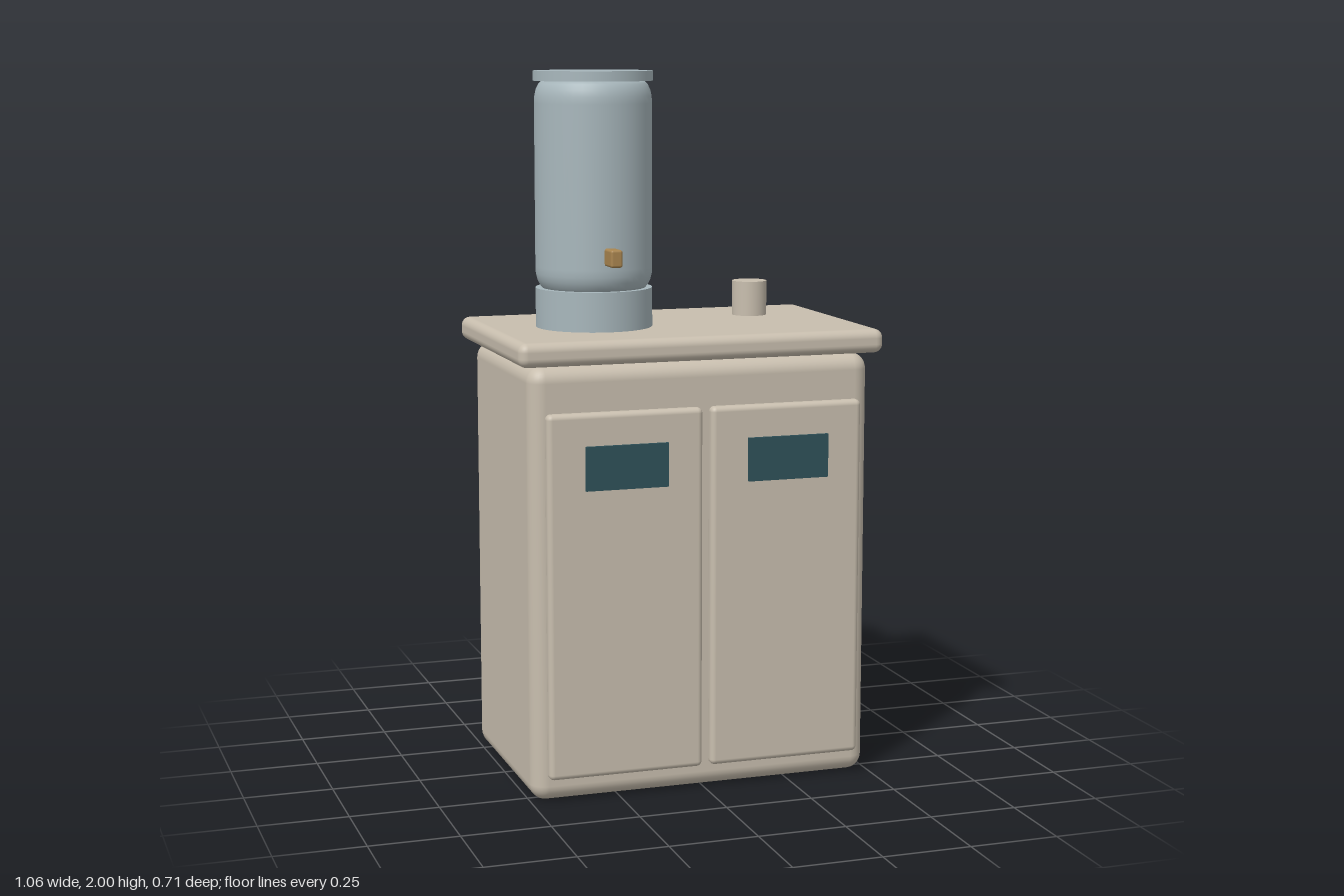
import * as THREE from 'three';
import { RoundedBoxGeometry } from 'three/addons/geometries/RoundedBoxGeometry.js';

const material = (name, color) => {
  const m = new THREE.MeshStandardMaterial({ color });
  m.name = name;
  return m;
};

export function createModel() {
  const group = new THREE.Group();
  group.name = 'cabinetWithTank';
  const beige = material('warm beige', 0xc8beae);
  const steel = material('blue grey steel', 0xa8b7bc);
  const teal = material('dark teal', 0x2f5159);
  const brass = material('brass', 0xa9854f);

  const add = (name, geometry, mat, x, y, z) => {
    const mesh = new THREE.Mesh(geometry, mat);
    mesh.name = name;
    mesh.position.set(x, y, z);
    group.add(mesh);
    return mesh;
  };
  // Rounded box given by its lower and upper limits
  const box = (name, mat, [x0, x1], [y0, y1], [z0, z1], r) =>
    add(name, new RoundedBoxGeometry(x1 - x0, y1 - y0, z1 - z0, 4, r), mat,
      (x0 + x1) / 2, (y0 + y1) / 2, (z0 + z1) / 2);
  const cylinder = (name, mat, r, [y0, y1], x, z) =>
    add(name, new THREE.CylinderGeometry(r, r, y1 - y0, 40), mat, x, (y0 + y1) / 2, z);

  // Cabinet and worktop
  box('cabinetBody', beige, [-0.497, 0.492], [0, 1.215], [-0.322, 0.308], 0.045);
  box('worktop', beige, [-0.53, 0.526], [1.217, 1.284], [-0.354, 0.332], 0.025);

  // Pair of doors, each with a dark window
  for (const [side, x] of [['right', -0.236], ['left', 0.232]]) {
    box(side + 'Door', beige, [x - 0.222, x + 0.222], [0.07, 1.09], [0.303, 0.341], 0.015);
    add(side + 'Window', new THREE.BoxGeometry(0.235, 0.122, 0.009), teal, x, 0.94, 0.3495);
  }

  // Tank on a round base, with rounded shoulders and a flat lid
  const tankX = -0.222, tankZ = -0.01;
  cylinder('tankBase', steel, 0.165, [1.28, 1.395], tankX, tankZ);
  const profile = [
    [0, 1.39], [0.142, 1.39], [0.152, 1.402], [0.16, 1.418], [0.164, 1.435], [0.165, 1.455],
    [0.165, 1.91], [0.164, 1.93], [0.16, 1.948], [0.152, 1.964], [0.142, 1.974], [0, 1.974],
  ].map(([r, y]) => new THREE.Vector2(r, y));
  add('tankBody', new THREE.LatheGeometry(profile, 40), steel, tankX, 0, tankZ);
  cylinder('tankLid', steel, 0.168, [1.972, 2], tankX, tankZ);

  // Tap at the front of the tank, and the small stub on the worktop
  box('tap', brass, [tankX - 0.017, tankX + 0.017], [1.468, 1.517], [0.13, 0.215], 0.007);
  cylinder('worktopStub', beige, 0.05, [1.295, 1.394], 0.259, -0.045);

  return group;
}
